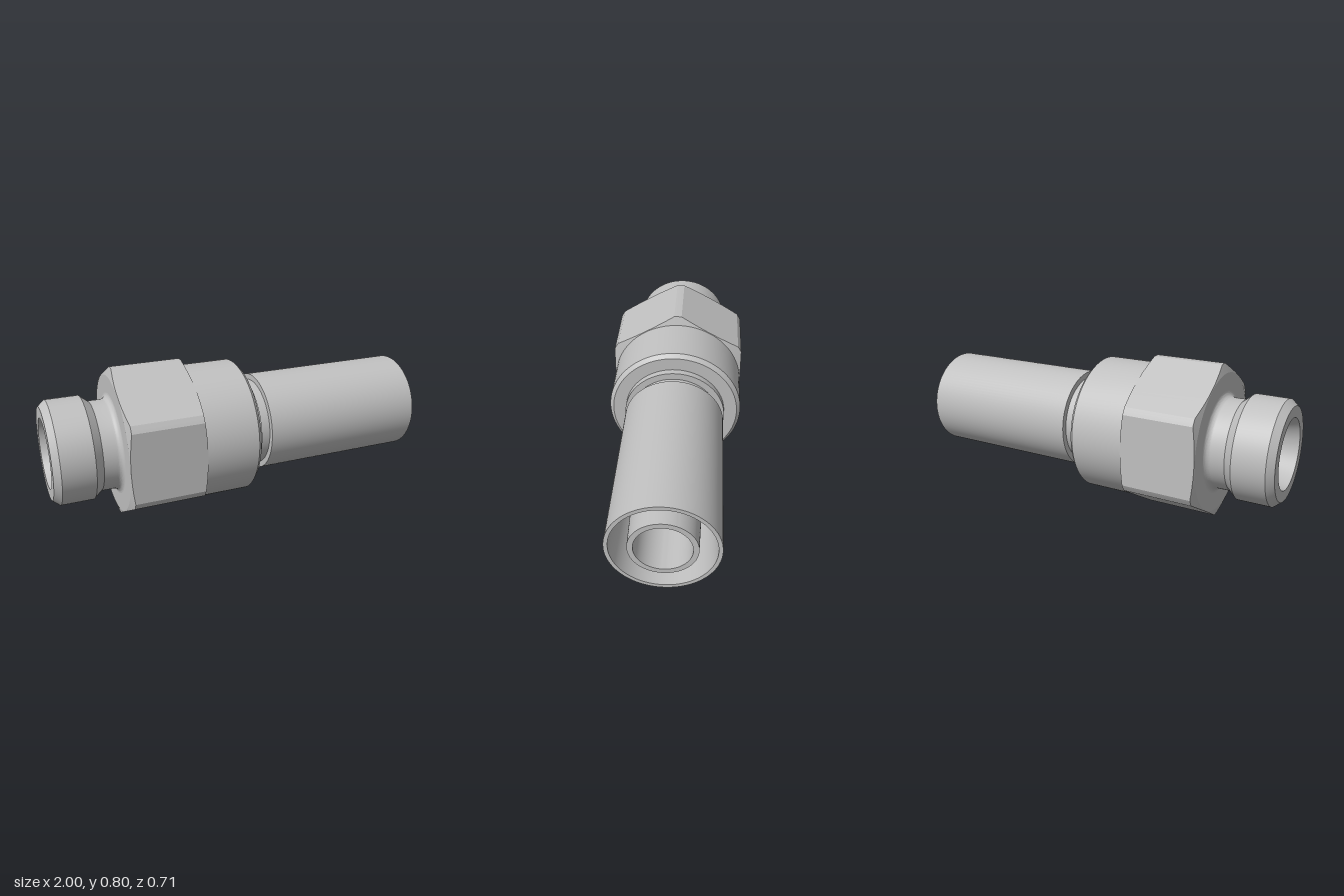
import * as THREE from 'three';
import { toCreasedNormals } from 'three/addons/utils/BufferGeometryUtils.js';

const AXIS_Y = 0.4;

// Revolve [radius, x] points around the x axis (outer walls run towards +x)
function turned(name, profile, material) {
  const points = profile.map(([r, x]) => new THREE.Vector2(r, x));
  const geometry = new THREE.LatheGeometry(points, 96);
  geometry.rotateZ(-Math.PI / 2);
  const mesh = new THREE.Mesh(toCreasedNormals(geometry, 0.2), material);
  mesh.name = name;
  return mesh;
}

// Hexagon with corners trimmed to a cylinder and conical chamfers on both ends
function hexGeometry(x0, x1, apothem, cornerRadius, innerRadius) {
  const endRadius = apothem - 0.004;
  const half = Math.PI / 6 - Math.acos(apothem / cornerRadius);
  const angles = [];
  for (let k = 0; k < 6; k++) {
    const corner = k * Math.PI / 3;
    for (let i = 0; i < 4; i++) angles.push(corner - half + (2 * half * i) / 4);
    for (let i = 0; i < 14; i++) {
      angles.push(corner + half + ((Math.PI / 3 - 2 * half) * i) / 14);
    }
  }

  const positions = [];
  const rows = 6;
  for (const a of angles) {
    const toFlat = (((a % (Math.PI / 3)) + Math.PI / 3) % (Math.PI / 3)) - Math.PI / 6;
    const r = Math.min(cornerRadius, apothem / Math.cos(toFlat));
    const dx = (r - endRadius) * 0.3;
    const section = [
      [x0, innerRadius], [x0, endRadius], [x0 + dx, r],
      [x1 - dx, r], [x1, endRadius], [x1, innerRadius],
    ];
    for (const [x, s] of section) positions.push(x, s * Math.cos(a), s * Math.sin(a));
  }

  const index = [];
  for (let i = 0; i < angles.length; i++) {
    const next = (i + 1) % angles.length;
    for (let j = 0; j < rows - 1; j++) {
      const a = i * rows + j;
      const b = next * rows + j;
      index.push(a, b, a + 1, b, b + 1, a + 1);
    }
  }
  const geometry = new THREE.BufferGeometry();
  geometry.setAttribute('position', new THREE.Float32BufferAttribute(positions, 3));
  geometry.setIndex(index);
  return toCreasedNormals(geometry, 0.2);
}

export function createModel() {
  const steel = new THREE.MeshStandardMaterial({ color: 0xc0c0c0 });
  steel.name = 'steel';
  const model = new THREE.Group();
  model.name = 'hoseFitting';

  // Rounded transition from the neck up to the hexagon
  const fillet = [];
  for (let i = 0; i <= 8; i++) {
    const a = (i / 8) * Math.PI / 2;
    fillet.push([0.26 - 0.03 * Math.cos(a), -0.69 + 0.03 * Math.sin(a)]);
  }

  // Inner nipple, through bore, conical seat and outer stub in one profile
  model.add(turned('stem', [
    [0.172, 0.2], [0.158, 1], [0.132, 1],
    [0.132, -0.8], [0.178, -1], [0.235, -1],
    [0.265, -0.965], [0.265, -0.8], [0.23, -0.757],
    ...fillet,
  ], steel));

  const hex = new THREE.Mesh(hexGeometry(-0.66, -0.27, 0.356, 0.4, 0.22), steel);
  hex.name = 'hexNut';
  model.add(hex);

  // Round collar with a chamfered edge, a small step and a neck
  model.add(turned('collar', [
    [0.3, -0.275], [0.353, -0.275], [0.353, 0.006], [0.333, 0.026], [0.265, 0.026],
    [0.265, 0.062], [0.23, 0.062], [0.23, 0.122],
  ], steel));

  // Hollow sleeve with a tapered inside and a closed floor
  model.add(turned('sleeve', [
    [0.225, 0.122], [0.26, 0.122], [0.26, 1], [0.241, 1], [0.215, 0.2], [0.17, 0.2],
  ], steel));

  model.children.forEach((part) => { part.position.y = AXIS_Y; });
  return model;
}
